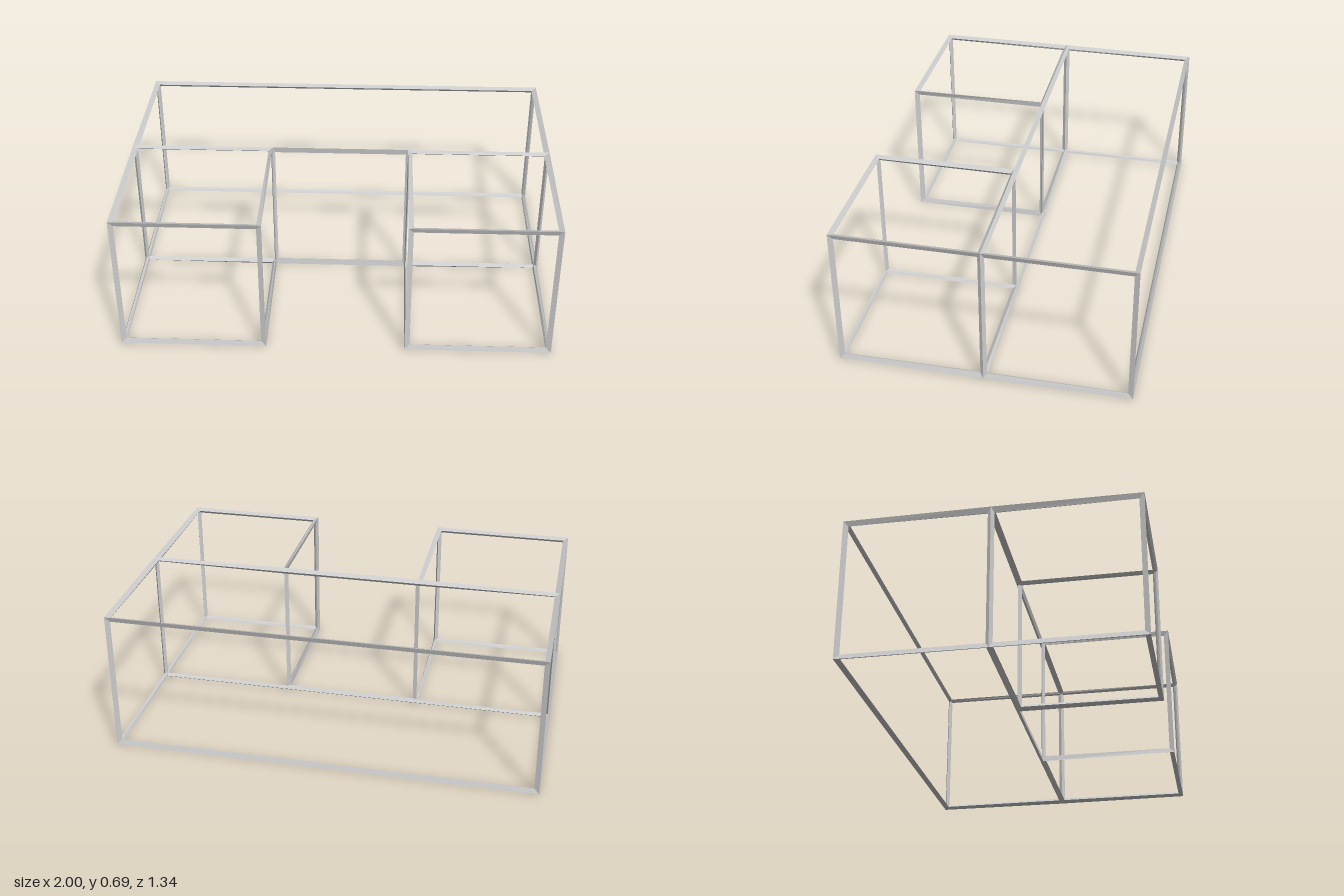
import * as THREE from 'three';

const CELL = 0.66;     // side of one cubic bay
const BAR = 0.015;     // half thickness of the bars
const BASE = 0.0136;   // lifts the lowest bar tip to the ground

// Plan corners of the U-shaped frame, in bays (x, z)
const PLAN = {
  A: [-1.5, -1], B: [1.5, -1], C: [1.5, 0], D: [0.5, 0], E: [-0.5, 0],
  F: [-1.5, 0], G: [-0.5, 1], H: [-1.5, 1], I: [0.5, 1], J: [1.5, 1],
};
const corner = (key, level) =>
  new THREE.Vector3(PLAN[key][0] * CELL, BASE + level * CELL, PLAN[key][1] * CELL);

// Each open panel is a loop of [plan corner, level], counter-clockwise from outside
function makePanels() {
  const panels = [];
  const decks = { backBay: 'AFEDCB', rightBay: 'FHGE', leftBay: 'DIJC' };
  for (const [name, keys] of Object.entries(decks)) {
    panels.push({ name: name + 'TopFrame', loop: [...keys].map((k) => [k, 1]) });
    panels.push({ name: name + 'BottomFrame', loop: [...keys].reverse().map((k) => [k, 0]) });
  }
  const walls = {
    AF: 'rightRearSideFrame', FH: 'rightFrontSideFrame', HG: 'rightBayFrontFrame',
    GE: 'rightBayInnerFrame', ED: 'middleFrontFrame', DI: 'leftBayInnerFrame',
    IJ: 'leftBayFrontFrame', JC: 'leftFrontSideFrame', CB: 'leftRearSideFrame', BA: 'backFrame',
  };
  for (const [[p, q], name] of Object.entries(walls)) {
    panels.push({ name, loop: [[p, 0], [q, 0], [q, 1], [p, 1]] });
  }
  return panels;
}

export function createModel() {
  const group = new THREE.Group();
  group.name = 'openFrame';
  const metal = new THREE.MeshStandardMaterial({ color: 0xcccccc, flatShading: true });
  metal.name = 'light grey';

  const panels = makePanels();
  const normals = {};

  // Panel corners inset by the bar width, and angle-weighted corner normals
  for (const panel of panels) {
    const pts = panel.loop.map(([k, l]) => corner(k, l));
    const n = pts.length;
    const dirs = pts.map((p, i) => pts[(i + 1) % n].clone().sub(p).normalize());
    const face = dirs[0].clone().cross(dirs[n - 1]).negate().normalize();
    const inward = dirs.map((d) => face.clone().cross(d));
    panel.pts = pts;
    panel.inset = pts.map((p, i) => {
      const a = inward[i], b = inward[(i + n - 1) % n];
      return p.clone().addScaledVector(a.clone().add(b), BAR / (1 + a.dot(b)));
    });
    panel.loop.forEach(([k, l], i) => {
      const angle = Math.PI - dirs[i].angleTo(dirs[(i + n - 1) % n]);
      (normals[k + l] ??= new THREE.Vector3()).addScaledVector(face, angle);
    });
  }
  Object.values(normals).forEach((v) => v.normalize());

  // Ridged bars around every panel: an outer and an inner sloping face per edge
  for (const { name, loop, pts, inset } of panels) {
    const pos = [];
    const quad = (a, b, c, d) => [a, b, c, a, c, d].forEach((v) => pos.push(v.x, v.y, v.z));
    const shift = (i, s) =>
      pts[i].clone().addScaledVector(normals[loop[i][0] + loop[i][1]], s * BAR);
    pts.forEach((_, i) => {
      const j = (i + 1) % pts.length;
      quad(shift(i, 1), shift(j, 1), inset[j], inset[i]);
      quad(shift(j, -1), shift(i, -1), inset[i], inset[j]);
    });
    const geometry = new THREE.BufferGeometry();
    geometry.setAttribute('position', new THREE.Float32BufferAttribute(pos, 3));
    geometry.computeVertexNormals();
    const mesh = new THREE.Mesh(geometry, metal);
    mesh.name = name;
    group.add(mesh);
  }
  return group;
}
